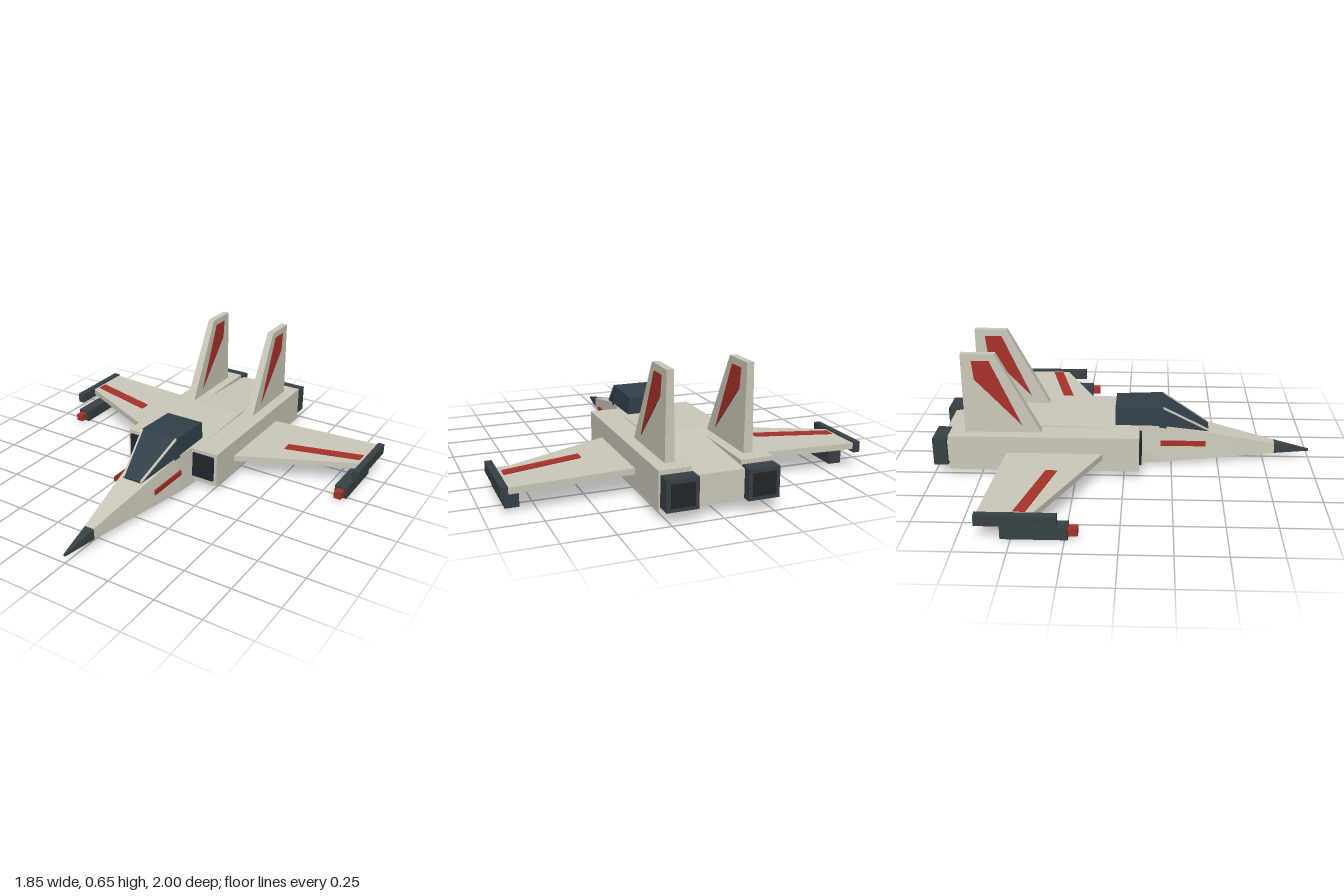
import * as THREE from 'three';

const mat = (color) => new THREE.MeshStandardMaterial({ color, flatShading: true, roughness: 0.8 });

// Capped loft through rings of equal point count; winding is corrected to face outward.
function loft(rings) {
  const tris = [];
  const n = rings[0].length;
  for (let i = 0; i < rings.length - 1; i++) {
    for (let j = 0; j < n; j++) {
      const k = (j + 1) % n;
      const [a, b, c, d] = [rings[i][j], rings[i][k], rings[i + 1][k], rings[i + 1][j]];
      tris.push([a, d, b], [b, d, c]);
    }
  }
  const last = rings[rings.length - 1];
  for (let j = 1; j < n - 1; j++) {
    tris.push([rings[0][0], rings[0][j], rings[0][j + 1]], [last[0], last[j + 1], last[j]]);
  }
  const v = (p) => new THREE.Vector3(...p);
  let volume = 0;
  for (const [a, b, c] of tris) volume += v(a).dot(v(b).cross(v(c)));
  if (volume < 0) tris.forEach((t) => t.reverse());
  const geo = new THREE.BufferGeometry();
  geo.setAttribute('position', new THREE.Float32BufferAttribute(tris.flat(2), 3));
  geo.computeVertexNormals();
  return geo;
}

// Four-cornered cross-section: z, half width at bottom and top, bottom and top heights.
const section = ([z, wb, wt, yb, yt]) => [[-wb, yb, z], [wb, yb, z], [wt, yt, z], [-wt, yt, z]];

export function createModel() {
  const group = new THREE.Group();
  const hull = mat(0xccc8ba);
  const dark = mat(0x384146);
  const black = mat(0x20272a);
  const glass = mat(0x31404a);
  const red = mat(0xa8322a);

  const add = (name, geo, material) => {
    const mesh = new THREE.Mesh(geo, material);
    mesh.name = name;
    group.add(mesh);
  };
  // Box given by its extents on each axis
  const box = (name, material, [x0, x1], [y0, y1], [z0, z1]) => {
    const geo = new THREE.BoxGeometry(Math.abs(x1 - x0), y1 - y0, Math.abs(z1 - z0));
    geo.translate((x0 + x1) / 2, (y0 + y1) / 2, (z0 + z1) / 2);
    add(name, geo, material);
  };

  // Fuselage with dark nose tip
  const nose = [0.81, 0.03, 0.026, 0.036, 0.092];
  add('noseTip', loft([[1, 0.005, 0.005, 0.04, 0.05], nose].map(section)), dark);
  add('fuselage', loft([
    nose,
    [0.2, 0.13, 0.112, 0.022, 0.227],
    [-0.1, 0.155, 0.15, 0.02, 0.23],
    [-0.4, 0.155, 0.15, 0.025, 0.236],
    [-0.95, 0.125, 0.12, 0.05, 0.2],
  ].map(section)), hull);

  // Canopy
  add('canopy', loft([
    [0.45, 0.055, 0.055, 0.165, 0.18],
    [0.2, 0.115, 0.108, 0.215, 0.33],
    [-0.05, 0.115, 0.108, 0.215, 0.32],
  ].map(section)), glass);

  for (const s of [1, -1]) {
    const side = s > 0 ? 'left' : 'right';
    const X = (a, b) => [s * a, s * b];

    // Windshield frame strip
    const strip = (x, y, z) => [[-1, -1], [1, -1], [1, 1], [-1, 1]]
      .map(([i, j]) => [s * (x + i * 0.005), y + j * 0.005, z]);
    add(side + 'WindshieldFrame', loft([strip(0.053, 0.179, 0.45), strip(0.104, 0.327, 0.203)]), hull);

    // Nose stripe
    box(side + 'NoseStripe', red, X(0.122, 0.13), [0.118, 0.146], [0.19, 0.43]);

    // Engine block, intake and nozzle
    box(side + 'Engine', hull, X(0.12, 0.28), [0.04, 0.228], [-0.91, 0.08]);
    box(side + 'Intake', black, X(0.137, 0.263), [0.07, 0.208], [0.05, 0.092]);
    box(side + 'Nozzle', dark, X(0.12, 0.275), [0.06, 0.21], [-0.994, -0.92]);
    box(side + 'NozzleNeck', hull, X(0.135, 0.26), [0.075, 0.195], [-0.93, -0.9]);
    box(side + 'NozzleCore', black, X(0.14, 0.255), [0.08, 0.19], [-1, -0.96]);

    // Wing
    const chord = (x, front, back, y0, y1) =>
      [[s * x, y0, front], [s * x, y1, front], [s * x, y1, back], [s * x, y0, back]];
    add(side + 'Wing', loft([
      chord(0.26, -0.1, -0.608, 0.106, 0.138),
      chord(0.9, -0.4, -0.652, 0.106, 0.138),
    ]), hull);
    add(side + 'WingStripe', loft([
      chord(0.475, -0.325, -0.382, 0.132, 0.143),
      chord(0.873, -0.428, -0.485, 0.132, 0.143),
    ]), red);

    // Wing tip rail and missile
    box(side + 'TipRail', dark, X(0.89, 0.925), [0.09, 0.145], [-0.66, -0.28]);
    box(side + 'Missile', dark, X(0.82, 0.888), [0, 0.064], [-0.55, -0.235]);
    box(side + 'MissileTip', red, X(0.834, 0.874), [0.013, 0.052], [-0.24, -0.19]);

    // Tail fin, thinner towards its top; the stripe passes through to both faces
    const slab = (outline, extra) => loft([-1, 1].map((f) => outline.map(([z, y]) =>
      [s * 0.195 + f * (0.0235 - 0.014 * (y - 0.23) + extra), y, z])));
    add(side + 'Fin', slab([[-0.43, 0.225], [-0.655, 0.655], [-0.83, 0.655], [-0.83, 0.225]], 0), hull);
    add(side + 'FinStripe', slab([[-0.53, 0.27], [-0.685, 0.62], [-0.775, 0.62], [-0.765, 0.52]], 0.003), red);
  }
  return group;
}
